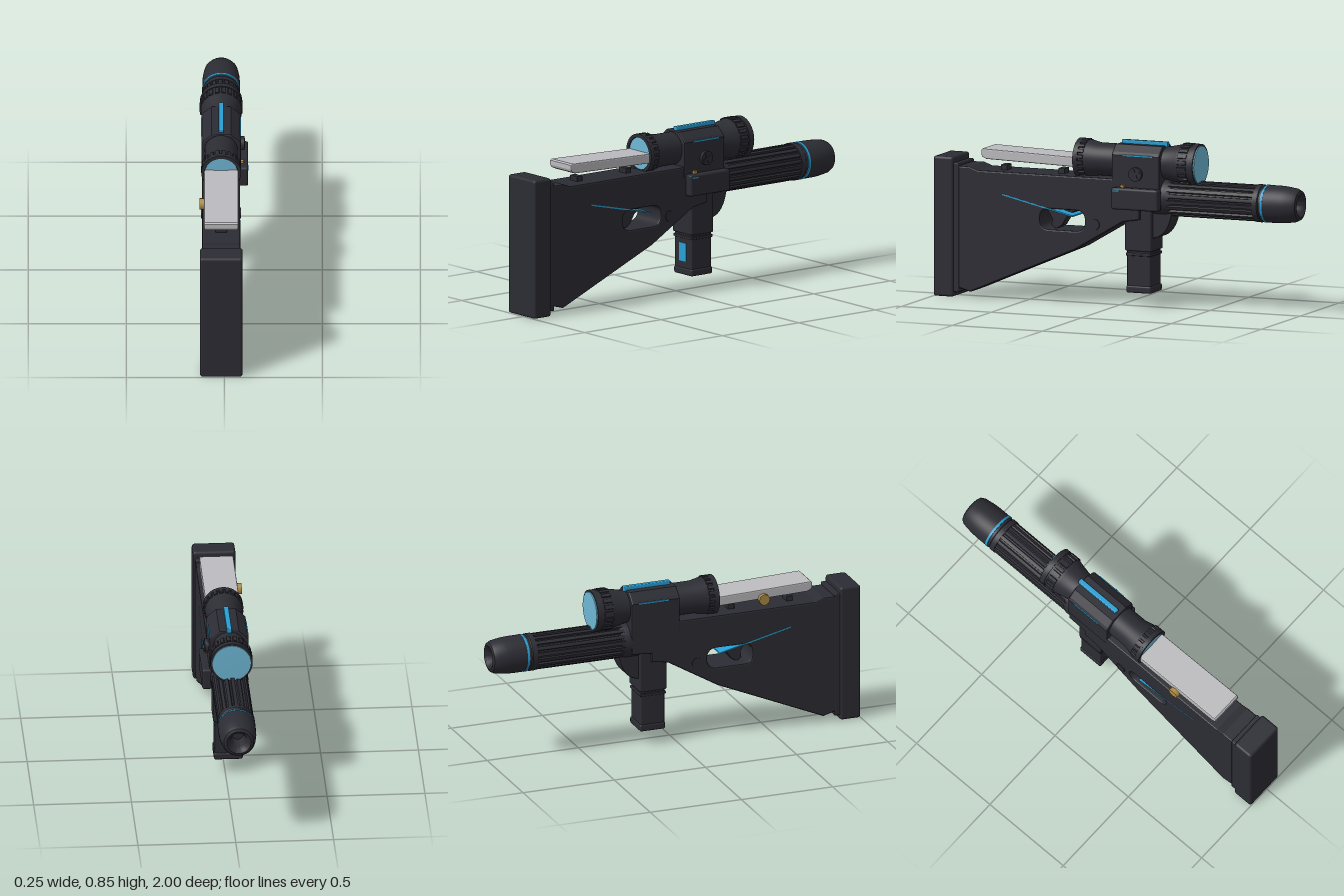
import * as THREE from 'three';
import { RoundedBoxGeometry } from 'three/addons/geometries/RoundedBoxGeometry.js';
import { toCreasedNormals } from 'three/addons/utils/BufferGeometryUtils.js';

const CX = -0.016; // centre plane of the body
const BARREL_Y = 0.567, SCOPE_Y = 0.744;

export function createModel() {
  const group = new THREE.Group();
  const mat = (name, color) => {
    const m = new THREE.MeshStandardMaterial({ color });
    m.name = name;
    return m;
  };
  const dark = mat('charcoal', 0x2c2c34);
  const blue = mat('accentBlue', 0x2a9fd4);
  const glass = mat('lensBlue', 0x6fb8d6);
  const grey = mat('restGrey', 0xbcbcc0);
  const gold = mat('brass', 0xb08d45);

  const add = (name, geo, m, x = 0, y = 0, z = 0) => {
    const mesh = new THREE.Mesh(geo, m);
    mesh.name = name;
    mesh.position.set(x, y, z);
    group.add(mesh);
    return mesh;
  };
  // Rounded box from its low and high corners
  const box = (name, m, x0, x1, y0, y1, z0, z1, r = 0.01) =>
    add(name, r ? new RoundedBoxGeometry(x1 - x0, y1 - y0, z1 - z0, 2, r)
      : new THREE.BoxGeometry(x1 - x0, y1 - y0, z1 - z0),
    m, (x0 + x1) / 2, (y0 + y1) / 2, (z0 + z1) / 2);
  const shapeOf = (pts) => new THREE.Shape(pts.map(([a, b]) => new THREE.Vector2(a, b)));
  // Side outline (z, y) extruded across x, centred on the body
  const slab = (name, m, shape, width, bevel = 0.008) => {
    const geo = new THREE.ExtrudeGeometry(shape, {
      depth: width - 2 * bevel, bevelEnabled: bevel > 0, bevelSize: bevel,
      bevelThickness: bevel, bevelOffset: -bevel, bevelSegments: 2, curveSegments: 10,
    });
    geo.translate(0, 0, -(width - 2 * bevel) / 2);
    geo.rotateY(-Math.PI / 2);
    return add(name, geo, m, CX);
  };
  // Profile (radius, z) turned about the z axis, listed from back to front in +z
  const turned = (name, m, pts, y) => {
    const geo = new THREE.LatheGeometry(pts.map(([r, z]) => new THREE.Vector2(r, z)), 40);
    geo.rotateX(Math.PI / 2);
    return add(name, toCreasedNormals(geo, 0.6), m, CX, y);
  };
  // Ribbed cylinder along z
  const ribbed = (name, rOut, rIn, n, z0, z1, y) => {
    const pts = [];
    for (let i = 0; i < n; i++) {
      [[0, rIn], [0.25, rIn], [0.35, rOut], [0.62, rOut], [0.9, rOut]].forEach(([f, r]) => {
        const a = ((i + f) / n) * Math.PI * 2;
        pts.push([r * Math.cos(a), r * Math.sin(a)]);
      });
    }
    const geo = new THREE.ExtrudeGeometry(shapeOf(pts), { depth: z1 - z0, bevelEnabled: false });
    return add(name, geo, dark, CX, y, z0);
  };

  // Butt pad and backing plate
  box('buttPad', dark, -0.125, 0.093, 0, 0.722, 0.888, 1, 0.014);
  box('buttPlate', dark, -0.115, 0.083, 0.025, 0.69, 0.86, 0.895, 0.006);

  // Stock with trigger opening
  const stock = shapeOf([[0.87, 0.676], [0.8, 0.676], [0.755, 0.66], [-0.25, 0.66], [-0.25, 0.51],
    [-0.14, 0.5], [-0.14, 0.455], [-0.05, 0.44], [0.22, 0.28], [0.8, 0.03], [0.87, 0.05]]);
  const hole = new THREE.Path();
  hole.moveTo(0.36, 0.378);
  hole.lineTo(0.215, 0.378);
  hole.quadraticCurveTo(0.163, 0.378, 0.163, 0.43);
  hole.quadraticCurveTo(0.163, 0.484, 0.215, 0.484);
  hole.lineTo(0.36, 0.484);
  hole.quadraticCurveTo(0.412, 0.484, 0.412, 0.43);
  hole.quadraticCurveTo(0.412, 0.378, 0.36, 0.378);
  stock.holes.push(hole);
  slab('stock', dark, stock, 0.194);
  slab('trigger', dark, shapeOf([[0.4, 0.474], [0.24, 0.474], [0.285, 0.441], [0.315, 0.393],
    [0.348, 0.372], [0.375, 0.393], [0.37, 0.425]]), 0.07, 0.005);

  // Slanted blue inlay running through the stock
  slab('stockInlay', blue, shapeOf([[0.62, 0.547], [0.62, 0.54], [0.23, 0.449], [0.23, 0.456]]), 0.197, 0);

  // Pin through the stock
  const pin = add('stockPin', new THREE.CylinderGeometry(0.028, 0.028, 0.204, 20), dark, CX, 0.418, 0.107);
  pin.rotation.z = Math.PI / 2;

  // Magazine
  box('magazineWell', dark, CX - 0.078, CX + 0.078, 0.29, 0.52, -0.198, -0.052, 0.008);
  box('magazine', dark, CX - 0.069, CX + 0.069, 0.09, 0.31, -0.19, -0.06, 0.006);
  box('magazineBand', dark, CX - 0.074, CX + 0.074, 0.265, 0.28, -0.195, -0.055, 0.004);
  box('magazineFoot', dark, CX - 0.074, CX + 0.074, 0.074, 0.112, -0.196, -0.056, 0.01);
  box('magazineWindow', blue, CX - 0.028, CX + 0.028, 0.145, 0.24, -0.063, -0.056, 0);

  // Curved brace ahead of the magazine
  const brace = new THREE.Shape();
  brace.moveTo(-0.18, 0.5);
  brace.lineTo(-0.305, 0.5);
  brace.quadraticCurveTo(-0.285, 0.37, -0.2, 0.358);
  brace.lineTo(-0.18, 0.358);
  slab('frontBrace', dark, brace, 0.11, 0.006);

  // Barrel, collars and hollow muzzle
  turned('barrelCollar', dark, [[0, -0.3], [0.088, -0.3], [0.097, -0.27], [0.097, -0.2], [0, -0.2]], BARREL_Y);
  ribbed('flutedBarrel', 0.094, 0.084, 18, -0.765, -0.28, BARREL_Y);
  turned('barrelBand', dark, [[0, -0.81], [0.092, -0.81], [0.092, -0.795], [0.097, -0.79],
    [0.097, -0.762], [0, -0.762]], BARREL_Y);
  turned('barrelGlowRing', blue, [[0, -0.82], [0.097, -0.82], [0.097, -0.808], [0, -0.808]], BARREL_Y);
  turned('muzzle', dark, [[0, -0.9], [0.03, -0.9], [0.038, -0.965], [0.05, -0.992], [0.062, -1],
    [0.076, -0.994], [0.086, -0.975], [0.094, -0.92], [0.096, -0.88], [0.096, -0.82], [0, -0.82]], BARREL_Y);

  // Scope tube, knurled rings and lenses
  turned('scopeTube', dark, [[0, -0.438], [0.104, -0.438], [0.104, -0.35], [0.1, -0.335], [0.084, -0.26],
    [0.084, 0.115], [0.095, 0.165], [0.096, 0.222], [0, 0.222]], SCOPE_Y);
  ribbed('scopeFrontRing', 0.11, 0.101, 20, -0.4, -0.352, SCOPE_Y);
  turned('scopeFrontRim', dark, [[0.1, -0.439], [0.108, -0.439], [0.108, -0.41], [0.1, -0.41]], SCOPE_Y);
  ribbed('scopeRearRing', 0.102, 0.094, 20, 0.175, 0.215, SCOPE_Y);
  turned('scopeRearRim', dark, [[0.09, 0.2], [0.102, 0.205], [0.102, 0.23], [0.084, 0.23], [0.084, 0.22]], SCOPE_Y);
  turned('scopeFrontLens', glass, [[0, -0.446], [0.098, -0.444], [0.098, -0.437], [0, -0.437]], SCOPE_Y);
  turned('scopeRearLens', glass, [[0, 0.215], [0.082, 0.215], [0.082, 0.225], [0, 0.227]], SCOPE_Y);

  // Scope mount with chamfered shoulders
  const mount = shapeOf([[-0.1, 0.6], [0.1, 0.6], [0.1, 0.785], [0.088, 0.8], [0.05, 0.834],
    [-0.05, 0.834], [-0.088, 0.8], [-0.1, 0.785]]);
  const mountGeo = new THREE.ExtrudeGeometry(mount, {
    depth: 0.25, bevelSize: 0.008, bevelThickness: 0.008, bevelOffset: -0.008, bevelSegments: 2,
  });
  add('scopeMount', mountGeo, dark, CX, 0, -0.245);
  box('topStrip', blue, CX - 0.013, CX + 0.013, 0.825, 0.853, -0.262, -0.006, 0.005);
  for (const s of [-1, 1]) {
    add('mountStripe', new THREE.BoxGeometry(0.006, 0.007, 0.165), blue, CX + s * 0.099, 0.785, -0.132);
  }

  // Adjustment knob with cross grip on the left side
  const knob = add('mountKnob', new THREE.CylinderGeometry(0.036, 0.036, 0.03, 24), dark, 0.087, 0.692, -0.125);
  knob.rotation.z = Math.PI / 2;
  for (const a of [0, Math.PI / 2]) {
    const bar = add('knobGrip', new THREE.BoxGeometry(0.006, 0.012, 0.055), dark, 0.103, 0.692, -0.125);
    bar.rotation.x = a + 0.4;
  }

  // Side housing
  box('sideHousing', dark, 0.07, 0.122, 0.508, 0.62, -0.26, 0, 0.012);
  box('housingStripe', blue, 0.117, 0.1235, 0.602, 0.608, -0.048, -0.008, 0);
  box('housingButton', gold, 0.08, 0.1, 0.618, 0.634, -0.064, -0.042, 0.003);

  // Cheek rest, slightly tapered toward the scope
  slab('cheekRest', grey, shapeOf([[0.743, 0.765], [0.735, 0.772], [0.21, 0.756], [0.21, 0.706],
    [0.715, 0.719], [0.737, 0.729], [0.743, 0.742]]), 0.174, 0.006);
  for (const z of [0.64, 0.32]) box('restPost', dark, CX - 0.03, CX + 0.03, 0.65, 0.687, z - 0.018, z + 0.018, 0.004);

  // Brass clamp screw on the right side
  const screw = add('clampScrew', new THREE.CylinderGeometry(0.03, 0.03, 0.022, 8), gold, -0.116, 0.715, 0.472);
  screw.rotation.z = Math.PI / 2;
  const shaft = add('clampShaft', new THREE.CylinderGeometry(0.014, 0.014, 0.08, 10), gold, -0.075, 0.712, 0.472);
  shaft.rotation.z = Math.PI / 2;

  return group;
}
